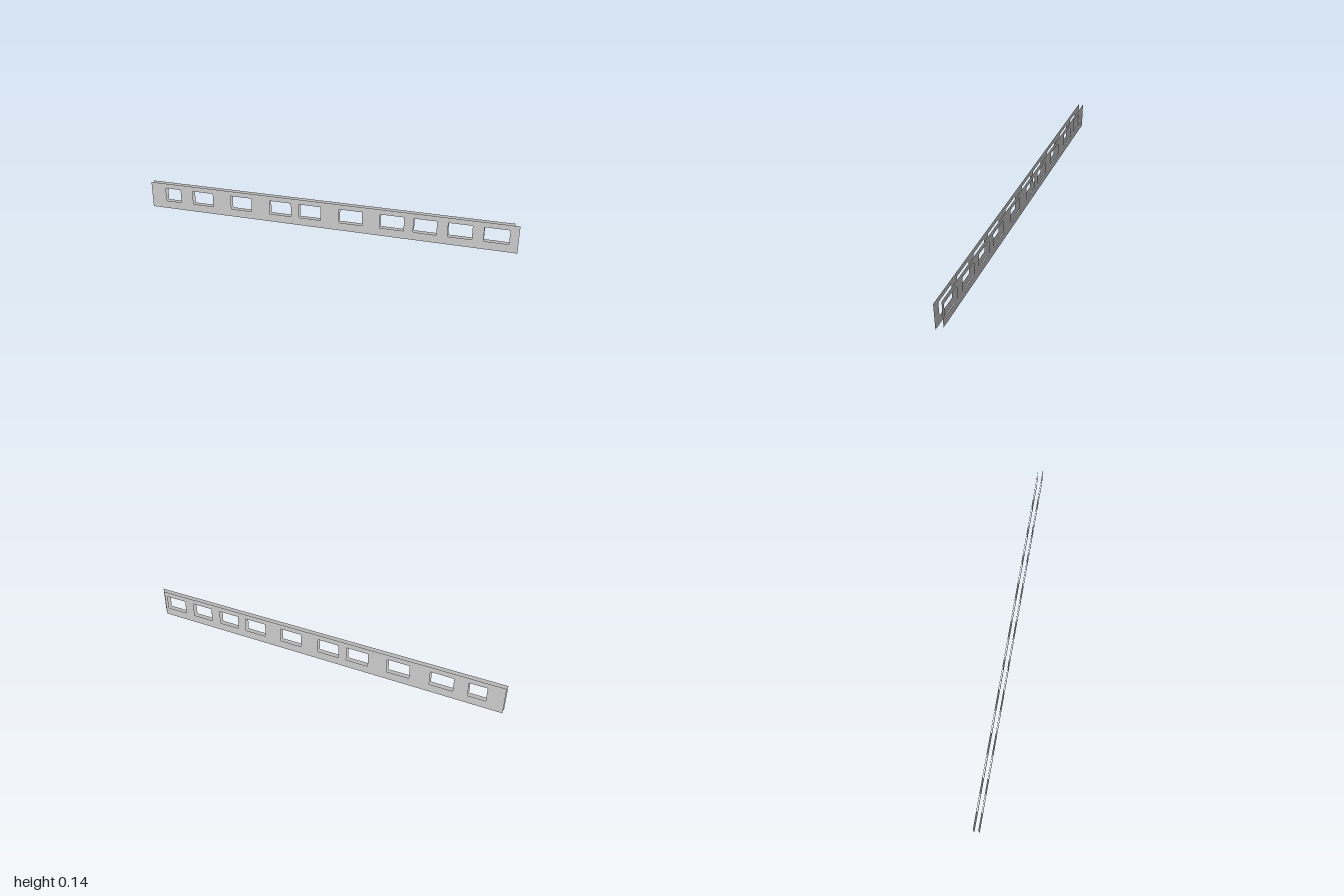
import * as THREE from 'three';

const HEIGHT = 0.145;
const GAP = 0.026;
const SILL = 0.043;
const LINTEL = 0.118;

// Left and right edge of each window opening
const WINDOWS = [
  [-0.913, -0.822], [-0.748, -0.627], [-0.52, -0.4], [-0.296, -0.175], [-0.13, -0.01],
  [0.09, 0.214], [0.309, 0.433], [0.482, 0.6], [0.656, 0.776], [0.833, 0.956],
];

// Traces a rectangle into a Shape or Path
function rect(path, x0, x1, y0, y1) {
  path.moveTo(x0, y0);
  path.lineTo(x1, y0);
  path.lineTo(x1, y1);
  path.lineTo(x0, y1);
  path.closePath();
  return path;
}

// Thin wall sheet pierced by the row of windows
function wallSheet(name, xEnd, z, material) {
  const shape = rect(new THREE.Shape(), -1, xEnd, 0, HEIGHT);
  for (const [x0, x1] of WINDOWS) {
    shape.holes.push(rect(new THREE.Path(), x0, x1, SILL, LINTEL));
  }
  const sheet = new THREE.Mesh(new THREE.ShapeGeometry(shape), material);
  sheet.name = name;
  sheet.position.z = z;
  return sheet;
}

export function createModel() {
  const group = new THREE.Group();
  group.name = 'windowWall';
  const material = new THREE.MeshStandardMaterial({ color: 0xcccccc, side: THREE.DoubleSide });

  // Outer face, and a slightly shorter inner face behind it
  group.add(wallSheet('frontWall', 1, GAP / 2, material));
  group.add(wallSheet('backWall', 0.975, -GAP / 2, material));
  return group;
}
